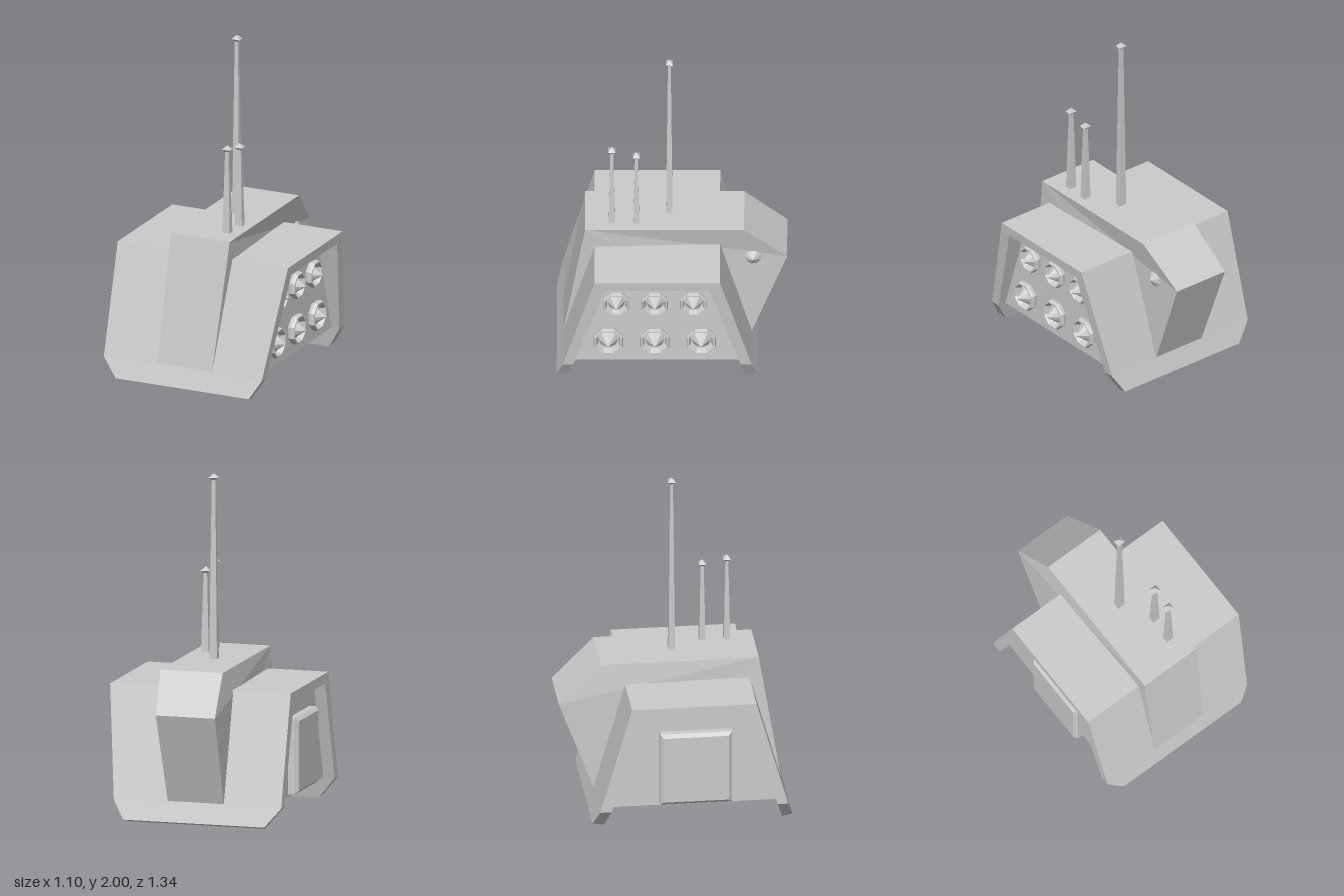
import * as THREE from 'three';

const mat = new THREE.MeshStandardMaterial({ color: 0xcccccc, flatShading: true });

// Closed solid through matching convex rings of [x, y, z] corners.
function loft(rings) {
  const tris = [];
  const n = rings[0].length;
  for (let i = 0; i + 1 < rings.length; i++) {
    for (let j = 0; j < n; j++) {
      const k = (j + 1) % n;
      const [a, b, c, d] = [rings[i][j], rings[i][k], rings[i + 1][k], rings[i + 1][j]];
      tris.push([a, b, c], [a, c, d]);
    }
  }
  const last = rings[rings.length - 1];
  for (let j = 1; j + 1 < n; j++) {
    tris.push([rings[0][0], rings[0][j + 1], rings[0][j]], [last[0], last[j], last[j + 1]]);
  }
  // a negative volume means the faces point inward
  const v = (p) => new THREE.Vector3(...p);
  const volume = tris.reduce((s, [a, b, c]) => s + v(a).dot(v(b).cross(v(c))), 0);
  if (volume < 0) tris.forEach((t) => t.reverse());
  const g = new THREE.BufferGeometry();
  g.setAttribute('position', new THREE.Float32BufferAttribute(tris.flat(2), 3));
  g.computeVertexNormals();
  return g;
}

function add(parent, name, geometry, x = 0, y = 0, z = 0) {
  const mesh = new THREE.Mesh(geometry, mat);
  mesh.name = name;
  mesh.position.set(x, y, z);
  parent.add(mesh);
  return mesh;
}

// Side outlines of the shell: straight down, then clipped at the bottom corners
const leftEdge = (y) => (y > 0.13 ? 0.47 + 0.08 * (y - 0.13) / 0.65 : 0.39 + 0.08 * y / 0.13);
const rightEdge = (y) => (y > 0.13 ? -0.55 : -0.44 - 0.11 * y / 0.13);

function addAntenna(parent, x, z, top) {
  const g = new THREE.Group();
  g.name = 'antenna';
  g.position.set(x, 0, z);
  const base = 0.88, h = top - 0.025 - base;
  const mast = new THREE.CylinderGeometry(0.015, 0.034, h, 4);
  mast.rotateY(Math.PI / 4).scale(1, 1, 0.8);
  add(g, 'mast', mast, 0, base + h / 2, 0);
  const tip = new THREE.LatheGeometry([[0, -0.025], [0.037, 0], [0, 0.025]].map((p) => new THREE.Vector2(...p)), 4);
  tip.rotateY(Math.PI / 4).scale(1, 1, 0.8);
  add(g, 'mastTip', tip, 0, top - 0.025, 0);
  parent.add(g);
}

export function createModel() {
  const model = new THREE.Group();
  model.name = 'launcherPod';

  // Bent armour shell: front plate, roof and back plate; stations are outer z, y, inner z, y
  const stations = [
    [0.67, 0.02, 0.61, 0], [0.635, 0.13, 0.575, 0.13], [0.45, 0.78, 0.39, 0.72],
    [-0.28, 0.78, -0.22, 0.72], [-0.465, 0.13, -0.4, 0.13], [-0.5, 0.02, -0.43, 0],
  ];
  add(model, 'armourShell', loft(stations.map(([zo, yo, zi, yi]) => [
    [leftEdge(yo), yo, zo], [rightEdge(yo), yo, zo], [rightEdge(yi), yi, zi], [leftEdge(yi), yi, zi],
  ])));

  // Recessed core between the plates
  const core = [[0.59, 0.13], [0.4, 0.74], [-0.23, 0.74], [-0.42, 0.13]];
  add(model, 'core', loft([-0.48, 0.42].map((x) => core.map(([z, y]) => [x, y, z]))));

  // Central spine, narrower low down, bulging out at the back: z, y, right x, left x
  const spine = [
    [0.505, 0.905, -0.18, 0.2], [0.632, 0.14, -0.205, 0.148], [-0.468, 0.14, -0.2, 0.14],
    [-0.67, 0.68, -0.21, 0.15], [-0.42, 0.905, -0.18, 0.2],
  ];
  add(model, 'spine', loft([2, 3].map((side) => spine.map((p) => [p[side], p[1], p[0]]))));

  // Shallow stud on the spine's left flank
  const stud = new THREE.ConeGeometry(0.056, 0.04, 9);
  stud.rotateZ(-Math.PI / 2);
  add(model, 'spineStud', stud, 0.172, 0.68, -0.47);

  // Two rows of rockets in eight-sided tubes
  const tubeProfile = [[0.9, -0.01], [1, 0.02], [0.94, 0.04], [0.84, 0.04], [0.68, 0.008]];
  const rows = [[0.55, 0.083, [0.325, 0.1, -0.125]], [0.28, 0.093, [0.37, 0.1, -0.17]]];
  for (const [y, r, zs] of rows) {
    for (const z of zs) {
      const rocket = new THREE.Group();
      rocket.name = 'rocket';
      rocket.position.set(0.42, y, z);
      rocket.rotation.z = -Math.PI / 2;
      const tube = new THREE.LatheGeometry(tubeProfile.map(([a, b]) => new THREE.Vector2(a * r, b)), 8, Math.PI / 8);
      add(rocket, 'launchTube', tube);
      add(rocket, 'warhead', new THREE.ConeGeometry(0.66 * r, 0.085, 8), 0, 0.0375, 0);
      model.add(rocket);
    }
  }

  // Raised hatch with bevelled rim on the right side
  const hatchRing = (x, inset) => [[0.31, 0.15], [0.31, 0.6], [-0.11, 0.6], [-0.11, 0.15]]
    .map(([z, y]) => [x, y + inset * Math.sign(0.375 - y), z + inset * Math.sign(0.1 - z)]);
  add(model, 'sideHatch', loft([hatchRing(-0.47, 0), hatchRing(-0.52, 0), hatchRing(-0.54, 0.02)]));

  // Antennas on the spine
  addAntenna(model, 0.01, 0.015, 2);
  addAntenna(model, 0.12, 0.207, 1.41);
  addAntenna(model, 0.11, 0.35, 1.44);

  return model;
}
